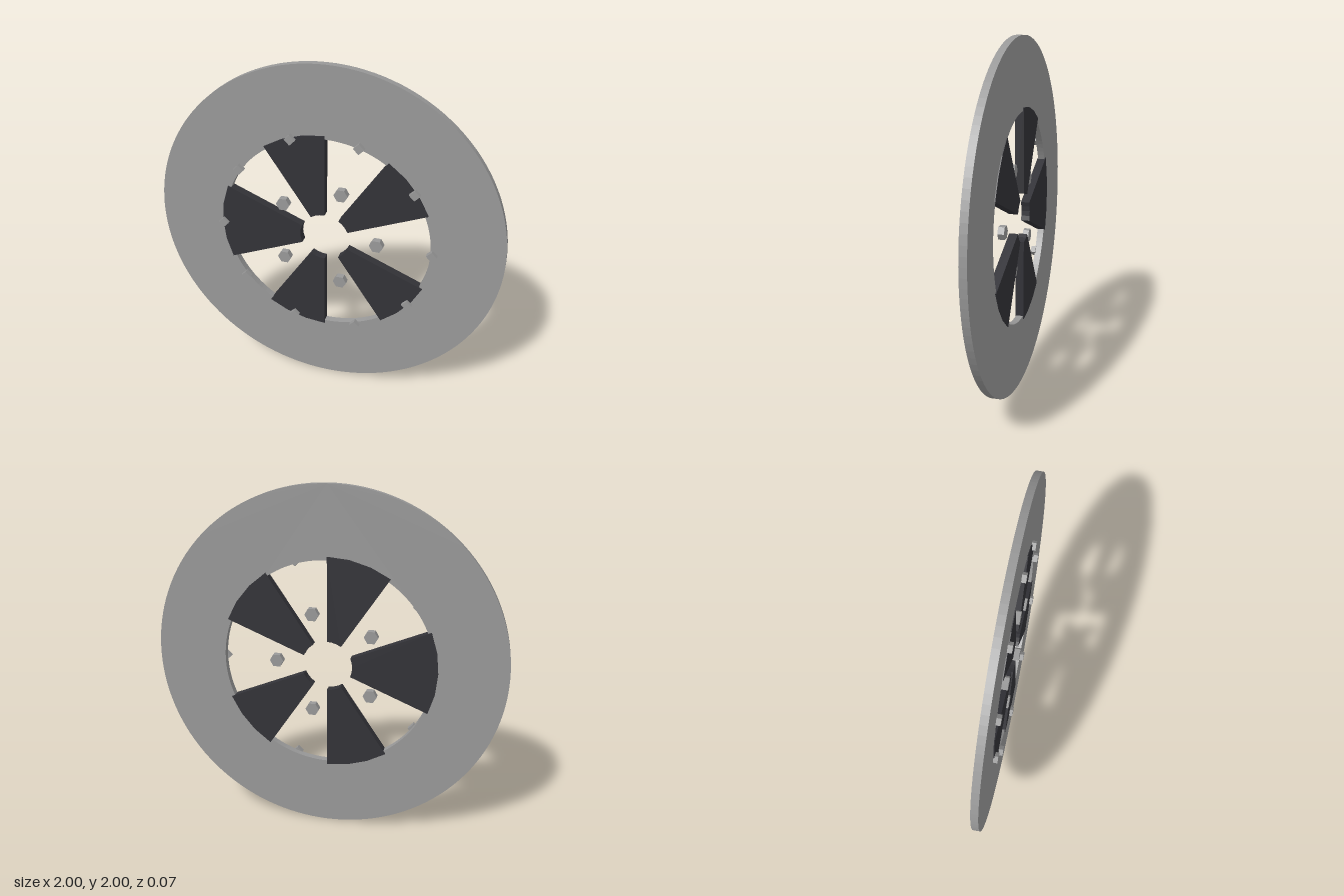
import * as THREE from 'three';

const STEP = Math.PI / 16; // arcs of the plates are cut in 32nds of a turn

export function createModel() {
  const steel = new THREE.MeshStandardMaterial({ color: 0x999999 });
  steel.name = 'grey steel';
  const dark = new THREE.MeshStandardMaterial({ color: 0x333338 });
  dark.name = 'dark metal';

  const model = new THREE.Group();
  model.name = 'brakeDisc';
  const disc = new THREE.Group();
  disc.position.y = 1;
  model.add(disc);

  const add = (name, geometry, material, x = 0, y = 0, z = 0) => {
    const mesh = new THREE.Mesh(geometry, material);
    mesh.name = name;
    mesh.position.set(x, y, z);
    disc.add(mesh);
  };
  const extrude = (shape, depth, curveSegments = 1) =>
    new THREE.ExtrudeGeometry(shape, { depth, curveSegments, bevelEnabled: false });

  // Flat friction ring
  const ring = new THREE.Shape().absarc(0, 0, 1, 0, Math.PI * 2, false);
  ring.holes.push(new THREE.Path().absarc(0, 0, 0.6, 0, Math.PI * 2, true));
  add('frictionRing', extrude(ring, 0.04, 64), steel, 0, 0, -0.03);

  // Five wedge plates of the carrier: first and last arc step of each
  for (const [from, to] of [[2, 5], [8, 11], [14, 18], [21, 24], [27, 30]]) {
    const points = [];
    for (let i = from; i <= to; i++)
      points.push(new THREE.Vector2(Math.cos(i * STEP), Math.sin(i * STEP)).multiplyScalar(0.62));
    for (let i = to; i >= from; i--)
      points.push(new THREE.Vector2(Math.cos(i * STEP), Math.sin(i * STEP)).multiplyScalar(0.144));
    add('carrierWedge', extrude(new THREE.Shape(points), 0.05), dark, 0, 0, -0.035);
  }

  // Prisms placed on a circle, all turned the same way with a corner towards +x
  const prisms = (name, count, circle, radius, sides, depth, z) => {
    const geometry = new THREE.CylinderGeometry(radius, radius, depth, sides).toNonIndexed();
    geometry.rotateX(Math.PI / 2).rotateZ(Math.PI / 2);
    geometry.computeVertexNormals();
    for (let i = 0; i < count; i++) {
      const a = (i / count) * Math.PI * 2;
      add(name, geometry, steel, Math.cos(a) * circle, Math.sin(a) * circle, z);
    }
  };
  prisms('hubBolt', 5, 0.3, 0.04, 6, 0.036, 0.006);
  prisms('rimRivet', 10, 0.61, 0.03, 4, 0.03, 0.02);

  return model;
}
